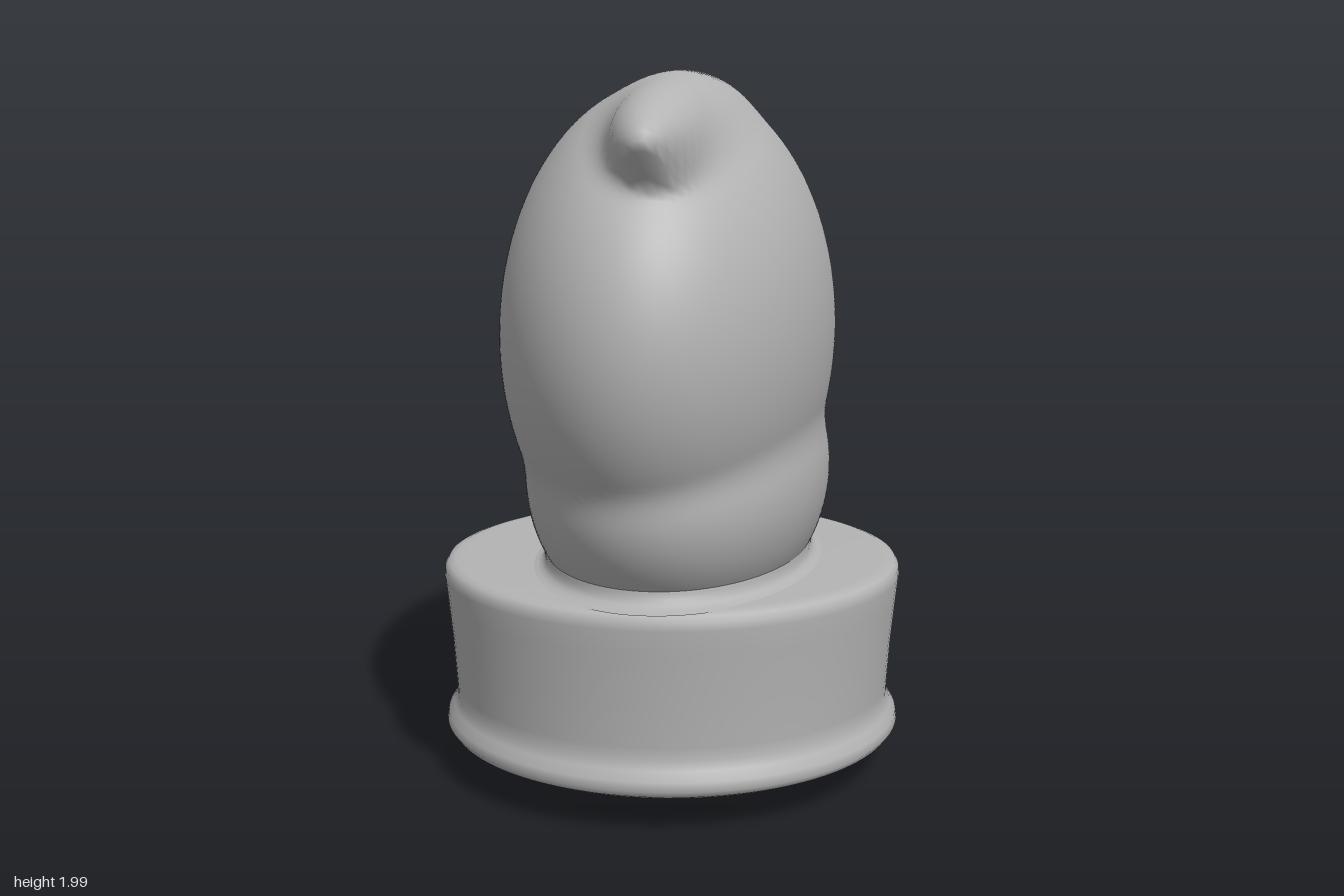
import * as THREE from 'three';
import { mergeVertices } from 'three/addons/utils/BufferGeometryUtils.js';

const grey = new THREE.MeshStandardMaterial({ color: 0xb4b4b4 });
grey.name = 'clayGrey';

// Soft forms melted into the body: centre, radii, blend width
const forms = [
  { c: [0, 1.27, 0.05], r: [0.465, 0.7, 0.81], k: 0 },        // main mass
  { c: [0.025, 0.87, 0.05], r: [0.43, 0.45, 0.695], k: 0.03 }, // lower collar
  { c: [0.04, 1.795, 0.05], r: [0.18, 0.19, 0.745], k: 0.06 }, // top crest
  { c: [0.08, 1.18, -0.57], r: [0.28, 0.345, 0.285], k: 0.08 }, // back bump
];

// Approximate signed distance to an ellipsoid
function ellipsoid(p, { c, r }) {
  const d = [p.x - c[0], p.y - c[1], p.z - c[2]];
  const a = Math.hypot(d[0] / r[0], d[1] / r[1], d[2] / r[2]);
  const b = Math.hypot(d[0] / r[0] ** 2, d[1] / r[1] ** 2, d[2] / r[2] ** 2);
  return b < 1e-6 ? -Math.min(...r) : (a * (a - 1)) / b;
}

// Smooth union of all forms
function field(p) {
  let total = ellipsoid(p, forms[0]);
  for (const form of forms.slice(1)) {
    const d = ellipsoid(p, form);
    const h = Math.max(form.k - Math.abs(total - d), 0) / form.k;
    total = Math.min(total, d) - h * h * form.k * 0.25;
  }
  return total;
}

// Sphere whose vertices are pushed out along rays to the blended surface
function bodyGeometry() {
  let geo = new THREE.SphereGeometry(1, 180, 130);
  geo.deleteAttribute('uv');
  geo.deleteAttribute('normal');
  const pos = geo.attributes.position;
  const centre = new THREE.Vector3(0, 1.27, 0.05);
  const dir = new THREE.Vector3();
  const p = new THREE.Vector3();
  for (let i = 0; i < pos.count; i++) {
    dir.fromBufferAttribute(pos, i).normalize();
    let near = 0.1, far = 1.4;
    for (let step = 0; step < 24; step++) {
      const mid = (near + far) / 2;
      p.copy(centre).addScaledVector(dir, mid);
      if (field(p) < 0) near = mid; else far = mid;
    }
    p.copy(centre).addScaledVector(dir, near);
    pos.setXYZ(i, p.x, p.y, p.z);
  }
  geo = mergeVertices(geo, 1e-5);
  geo.computeVertexNormals();
  return geo;
}

function lathe(points) {
  return new THREE.LatheGeometry(points.map(([x, y]) => new THREE.Vector2(x, y)), 96);
}

export function createModel() {
  const model = new THREE.Group();
  const add = (name, geometry) => {
    const mesh = new THREE.Mesh(geometry, grey);
    mesh.name = name;
    model.add(mesh);
    return mesh;
  };

  add('body', bodyGeometry());

  // Round plinth with a domed underside and a flared lower lip
  const base = add('base', lathe([
    [0, 0], [0.15, 0.005], [0.3, 0.022], [0.45, 0.05], [0.56, 0.078], [0.62, 0.097],
    [0.65, 0.112], [0.663, 0.13], [0.659, 0.155], [0.643, 0.18], [0.632, 0.205], [0.633, 0.24],
    [0.642, 0.37], [0.655, 0.5], [0.662, 0.565], [0.66, 0.587], [0.65, 0.603], [0.63, 0.61],
    [0.6, 0.611], [0.3, 0.611], [0, 0.611],
  ]));
  base.position.z = 0.055;

  // Oval fillet where the body meets the plinth
  const fillet = add('footFillet', lathe([
    [1.1, 0.609], [1.05, 0.614], [1.02, 0.622], [1.0, 0.635], [1.0, 0.65], [0.99, 0.67],
  ]));
  fillet.scale.set(0.38, 1, 0.608);
  fillet.position.set(0.025, 0, 0.055);

  return model;
}
